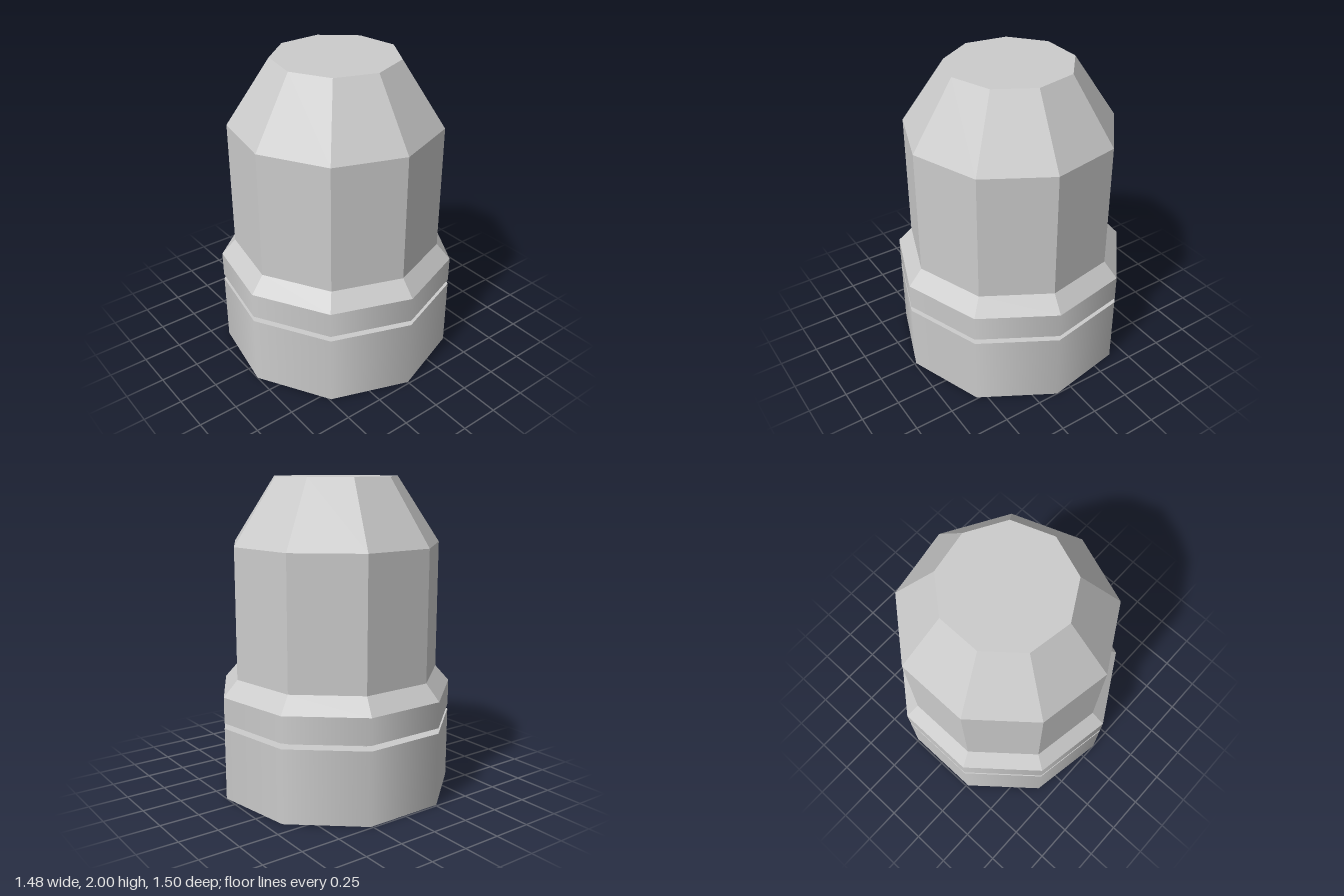
import * as THREE from 'three';

const SIDES = 9;
const START = Math.PI / 2; // one corner points along +x
const R_WIDE = 0.761, R_CORE = 0.67, R_TIP = 0.397;

const smooth = new THREE.MeshStandardMaterial({ color: 0xcccccc });
const faceted = new THREE.MeshStandardMaterial({ color: 0xcccccc, flatShading: true });

// Faceted nine-sided surface from a [radius, height] profile, listed bottom to top
function facetedRing(name, profile) {
  const points = profile.map(([r, y]) => new THREE.Vector2(r, y));
  const mesh = new THREE.Mesh(new THREE.LatheGeometry(points, SIDES, START), faceted);
  mesh.name = name;
  return mesh;
}

// Nine-sided wall with rounded shading
function smoothWall(name, y0, y1, open) {
  const geometry = new THREE.CylinderGeometry(R_WIDE, R_WIDE, y1 - y0, SIDES, 1, open, START);
  geometry.translate(0, (y0 + y1) / 2, 0);
  const mesh = new THREE.Mesh(geometry, smooth);
  mesh.name = name;
  return mesh;
}

export function createModel() {
  const model = new THREE.Group();
  model.name = 'taperedCap';

  // Wide base with closed ends
  model.add(smoothWall('base', 0, 0.465, false));

  // Collar above the groove: flat underside, wall and sloped shoulder
  const collar = new THREE.Group();
  collar.name = 'collar';
  collar.add(
    facetedRing('collarUnderside', [[R_CORE, 0.5], [R_WIDE, 0.5]]),
    smoothWall('collarWall', 0.5, 0.665, true),
    facetedRing('collarShoulder', [[R_WIDE, 0.665], [R_CORE, 0.768]])
  );
  model.add(collar);

  // Core visible in the groove, rising to the tapered nose and flat tip
  model.add(facetedRing('body', [[R_CORE, 0.465], [R_CORE, 1.587]]));
  model.add(facetedRing('nose', [[R_CORE, 1.587], [R_TIP, 2], [0, 2]]));

  // An odd number of sides needs a small shift to centre the bounds
  for (const part of model.children) part.position.x = -0.023;
  return model;
}
